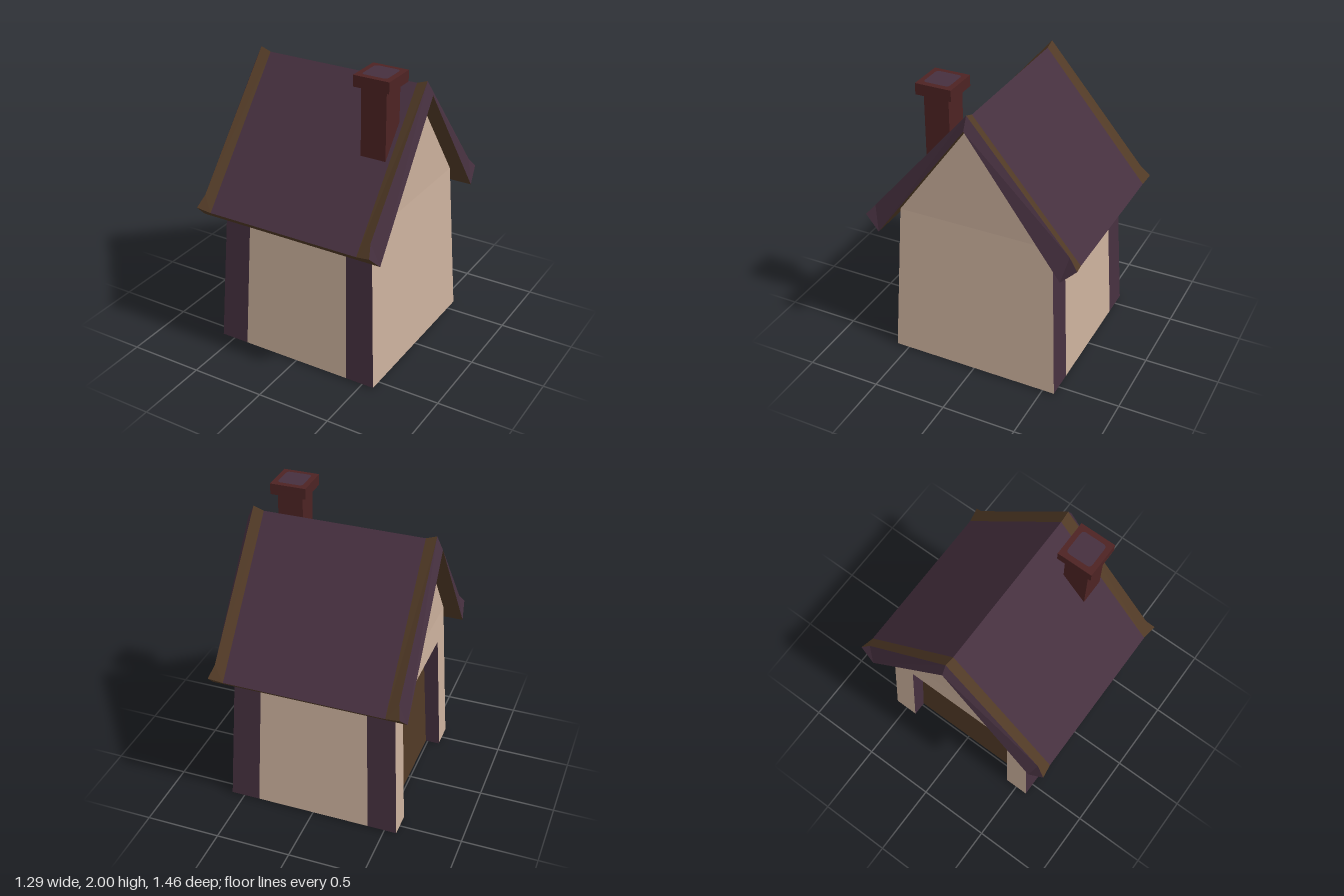
import * as THREE from 'three';

const mat = (name, color) => new THREE.MeshStandardMaterial({ name, color, side: THREE.DoubleSide });

// Flat faces from corner loops of 3 or 4 points, each face with its own normal
function faces(polys) {
  const pos = [];
  for (const p of polys) {
    for (let i = 1; i < p.length - 1; i++) pos.push(...p[0], ...p[i], ...p[i + 1]);
  }
  const g = new THREE.BufferGeometry();
  g.setAttribute('position', new THREE.Float32BufferAttribute(pos, 3));
  g.computeVertexNormals();
  return g;
}

// Repeat polygons mirrored across x and / or z, keeping the corner order outward
function mirror(polys, sxs, szs) {
  const out = [];
  for (const sx of sxs) for (const sz of szs) for (const p of polys) {
    const q = p.map(([x, y, z]) => [x * sx, y, z * sz]);
    out.push(sx * sz < 0 ? q.reverse() : q);
  }
  return out;
}

export function createModel() {
  const plaster = mat('plaster', 0xcbb09c);
  const purple = mat('purple', 0x46303f);
  const brown = mat('brown', 0x513a26);
  const brick = mat('brick', 0x4d2323);
  const both = [1, -1];

  const house = new THREE.Group();
  house.name = 'house';
  const add = (parent, name, geometry, material) => {
    const m = new THREE.Mesh(geometry, material);
    m.name = name;
    parent.add(m);
    return m;
  };
  const group = (name) => {
    const g = new THREE.Group();
    g.name = name;
    house.add(g);
    return g;
  };

  // Walls lean inwards: half width at height y
  const base = 0.01, eave = 1.08, ridge = 1.81;
  const half = (y) => 0.585 - 0.055 * (y - base) / (eave - base);
  const k = (y) => half(y) / half(base);

  // Front and back walls, with dark corner posts
  const walls = group('walls');
  const post = 0.387;
  const onFront = (a, y) => [a * k(y), y, half(y)];
  const frontStrip = (a, b) => [onFront(a, base), onFront(b, base), onFront(b, eave), onFront(a, eave)];
  add(walls, 'longWalls', faces(mirror([frontStrip(-post, post)], [1], both)), plaster);
  add(walls, 'cornerPosts', faces(mirror([frontStrip(post, half(base))], both, both)), purple);

  // Gable walls, one solid and one cut for the doorway
  const onSide = (a, y, inset = 0) => [half(y) - inset, y, a * k(y)];
  const w = half(base);
  const gable = [onSide(w, eave), onSide(-w, eave), [half(eave), ridge, 0]];
  const sideStrip = (a, b, y0, y1) => [onSide(b, y0), onSide(a, y0), onSide(a, y1), onSide(b, y1)];
  add(walls, 'solidGable', faces([sideStrip(-w, w, base, eave), gable]), plaster);
  const door = 0.42, doorTop = 0.89, depth = 0.1;
  add(walls, 'doorGable', faces(mirror([
    sideStrip(-w, -door, base, doorTop),
    sideStrip(door, w, base, doorTop),
    sideStrip(-w, w, doorTop, eave),
    gable,
  ], [-1], [1])), plaster);

  // Recessed door with its jambs and lintel
  const doorway = group('doorway');
  add(doorway, 'door', faces(mirror([[
    onSide(door, 0, depth), onSide(-door, 0, depth),
    onSide(-door, doorTop, depth), onSide(door, doorTop, depth),
  ]], [-1], [1])), brown);
  add(doorway, 'doorJambs', faces(mirror([[
    onSide(door, 0), onSide(door, doorTop),
    onSide(door, doorTop, depth), onSide(door, 0, depth),
  ]], [-1], both)), purple);
  add(doorway, 'doorLintel', faces(mirror([[
    onSide(door, doorTop), onSide(-door, doorTop),
    onSide(-door, doorTop, depth), onSide(door, doorTop, depth),
  ]], [-1], [1])), purple);

  // Roof points on the front right quarter
  const slopeTop = [0.53, 1.87, 0], slopeEnd = [0.53, 1.02, 0.715];
  const rimTop = [0.6, 1.895, 0], rimBend = [0.6, 1.11, 0.67], rimEnd = [0.625, 1.04, 0.73];
  const underTop = [0.64, ridge, 0], underEnd = [0.645, 0.945, 0.63];
  const flip = ([x, y, z]) => [-x, y, z];
  const centre = ([, y, z]) => [0, y, z];

  const roof = group('roof');
  add(roof, 'roofSlopes', faces(mirror(
    [[slopeTop, flip(slopeTop), flip(slopeEnd), slopeEnd]], [1], both)), purple);
  // Raised strips along both gable ends
  add(roof, 'roofRims', faces(mirror([
    [rimTop, slopeTop, slopeEnd, rimBend],
    [rimBend, slopeEnd, rimEnd],
  ], both, both)), brown);
  // Slanted end boards
  add(roof, 'roofEnds', faces(mirror([
    [rimTop, rimBend, underEnd, underTop],
    [rimBend, rimEnd, underEnd],
  ], both, both)), purple);
  // Eave boards
  add(roof, 'eaveBoards', faces(mirror([
    [centre(slopeEnd), centre(underEnd), underEnd, slopeEnd],
    [slopeEnd, underEnd, rimEnd],
  ], both, both)), brown);
  add(roof, 'roofUnderside', faces(mirror(
    [[centre(underTop), underTop, underEnd, centre(underEnd)]], both, both)), brown);

  // Chimney with cap and flue
  const chimney = group('chimney');
  chimney.position.set(0.42, 0, 0.25);
  add(chimney, 'chimneyShaft', new THREE.BoxGeometry(0.17, 0.47, 0.166), brick).position.y = 1.695;
  add(chimney, 'chimneyCap', new THREE.BoxGeometry(0.24, 0.073, 0.238), brick).position.y = 1.9615;
  const r = 0.085, c = 0.025;
  const outline = new THREE.Shape();
  outline.moveTo(-r + c, -r);
  for (const [x, y] of [[1, -1], [1, 1], [-1, 1], [-1, -1]]) {
    const along = x * y < 0;
    outline.lineTo(x * (along ? r - c : r), y * (along ? r : r - c));
    outline.quadraticCurveTo(x * r, y * r, x * (along ? r : r - c), y * (along ? r - c : r));
  }
  const flue = add(chimney, 'chimneyFlue', new THREE.ShapeGeometry(outline, 4), purple);
  flue.rotation.x = -Math.PI / 2;
  flue.position.y = 2;

  return house;
}
